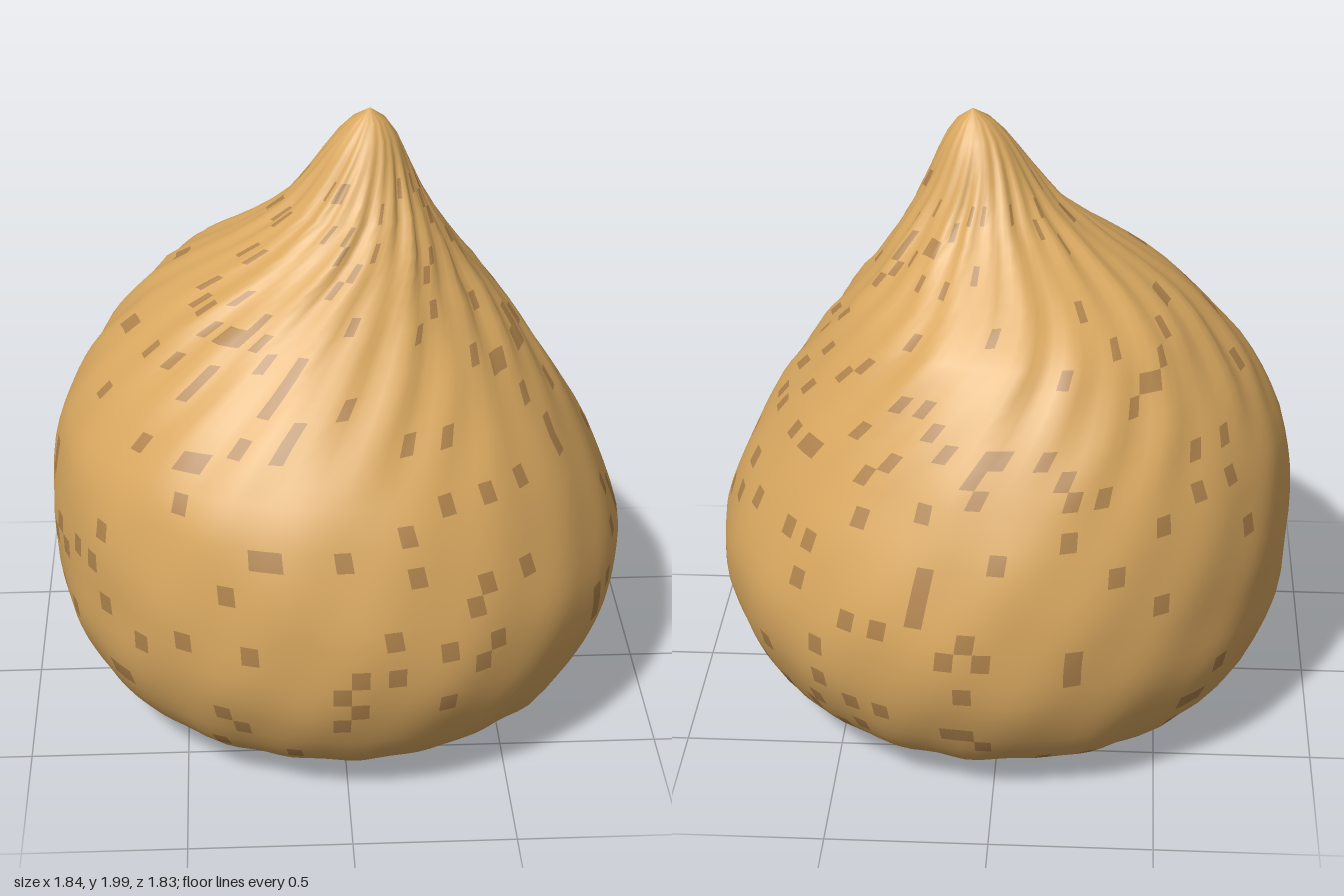
import * as THREE from 'three';

const COLS = 104, ROWS = 48;

// Half profile (radius, height) from the middle of the base to the tip
const PROFILE = [
  [0, 0.025], [0.3, 0.02], [0.5, 0.03], [0.67, 0.09], [0.8, 0.2], [0.895, 0.4], [0.915, 0.6],
  [0.885, 0.8], [0.815, 1.0], [0.695, 1.2], [0.535, 1.4], [0.43, 1.5], [0.32, 1.6],
  [0.225, 1.7], [0.16, 1.8], [0.105, 1.9], [0.06, 1.96], [0, 2]
];
// Sideways lean (height, x, z) of the centre line
const LEAN = [
  [0, 0, 0], [0.6, 0, 0], [0.8, -0.03, 0], [1.0, -0.06, 0], [1.2, -0.07, -0.02], [1.4, -0.055, -0.045],
  [1.5, -0.03, -0.03], [1.6, 0.02, -0.01], [1.7, 0.055, 0], [1.8, 0.07, 0], [2.01, 0.1, 0]
];

function leanAt(y) {
  let i = 1;
  while (i < LEAN.length - 1 && LEAN[i][0] < y) i++;
  const a = LEAN[i - 1], b = LEAN[i];
  const t = THREE.MathUtils.clamp((y - a[0]) / (b[0] - a[0]), 0, 1);
  return [a[1] + (b[1] - a[1]) * t, a[2] + (b[2] - a[2]) * t];
}

function seededRandom(seed) {
  return () => {
    seed = (Math.imul(seed, 1664525) + 1013904223) >>> 0;
    return seed / 4294967296;
  };
}

// Small lumps over the body, turning into fine folds towards the tip and under the base
function relief(a, y) {
  const upper = THREE.MathUtils.smoothstep(y, 0.9, 1.4) * (1 - THREE.MathUtils.smoothstep(y, 1.75, 2));
  const lower = 1 - THREE.MathUtils.smoothstep(y, 0.05, 0.35);
  const lumps = Math.sin(7 * a + 5 * y) * Math.sin(9 * y + 2 * a) + 0.7 * Math.sin(17 * a - 11 * y + 1);
  const folds = Math.sin(23 * a + 2 * Math.sin(4 * y)) + 0.7 * Math.sin(14 * a + 3 * y + 2);
  return 0.004 * lumps + 0.007 * upper * folds + 0.005 * lower * folds;
}

export function createModel() {
  const group = new THREE.Group();
  group.name = 'swirledDrop';

  // Rings of vertices, twisted progressively near the tip
  const curve = new THREE.SplineCurve(PROFILE.map(p => new THREE.Vector2(...p)));
  const positions = [];
  curve.getSpacedPoints(ROWS).forEach(p => {
    const [cx, cz] = leanAt(p.y);
    const twist = 1.2 * Math.pow(Math.max(0, (p.y - 1.05) / 0.95), 1.3);
    const weight = Math.min(1, Math.max(0, p.x) / 0.25);
    for (let c = 0; c < COLS; c++) {
      const a = c / COLS * Math.PI * 2;
      const r = Math.max(0.0005, p.x + weight * relief(a, p.y));
      const dip = p.y < 0.12 ? weight * 0.012 * Math.sin(5 * a + 1) * Math.sin(3 * a) : 0;
      positions.push(cx + r * Math.sin(a + twist), Math.max(0, p.y + dip), cz + r * Math.cos(a + twist));
    }
  });

  // Sort the grid cells into plain skin and scattered speckles
  const random = seededRandom(41);
  const skin = [], speckles = [];
  for (let r = 0; r < ROWS; r++) {
    for (let c = 0; c < COLS; c++) {
      const next = (c + 1) % COLS;
      const a = r * COLS + c, b = r * COLS + next, d = a + COLS, e = b + COLS;
      const spotted = random() < 0.075 && r > 10 && r < ROWS - 4;
      (spotted ? speckles : skin).push(a, b, e, a, e, d);
    }
  }

  // Both parts share the same smooth normals
  const whole = new THREE.BufferGeometry();
  whole.setAttribute('position', new THREE.Float32BufferAttribute(positions, 3));
  whole.setIndex(skin.concat(speckles));
  whole.computeVertexNormals();

  const addPart = (name, index, color) => {
    const geometry = new THREE.BufferGeometry();
    geometry.setAttribute('position', whole.getAttribute('position'));
    geometry.setAttribute('normal', whole.getAttribute('normal'));
    geometry.setIndex(index);
    const mesh = new THREE.Mesh(geometry, new THREE.MeshStandardMaterial({ color }));
    mesh.name = name;
    group.add(mesh);
  };
  addPart('skin', skin, 0xd9a860);
  addPart('speckles', speckles, 0xb0834c);
  return group;
}
